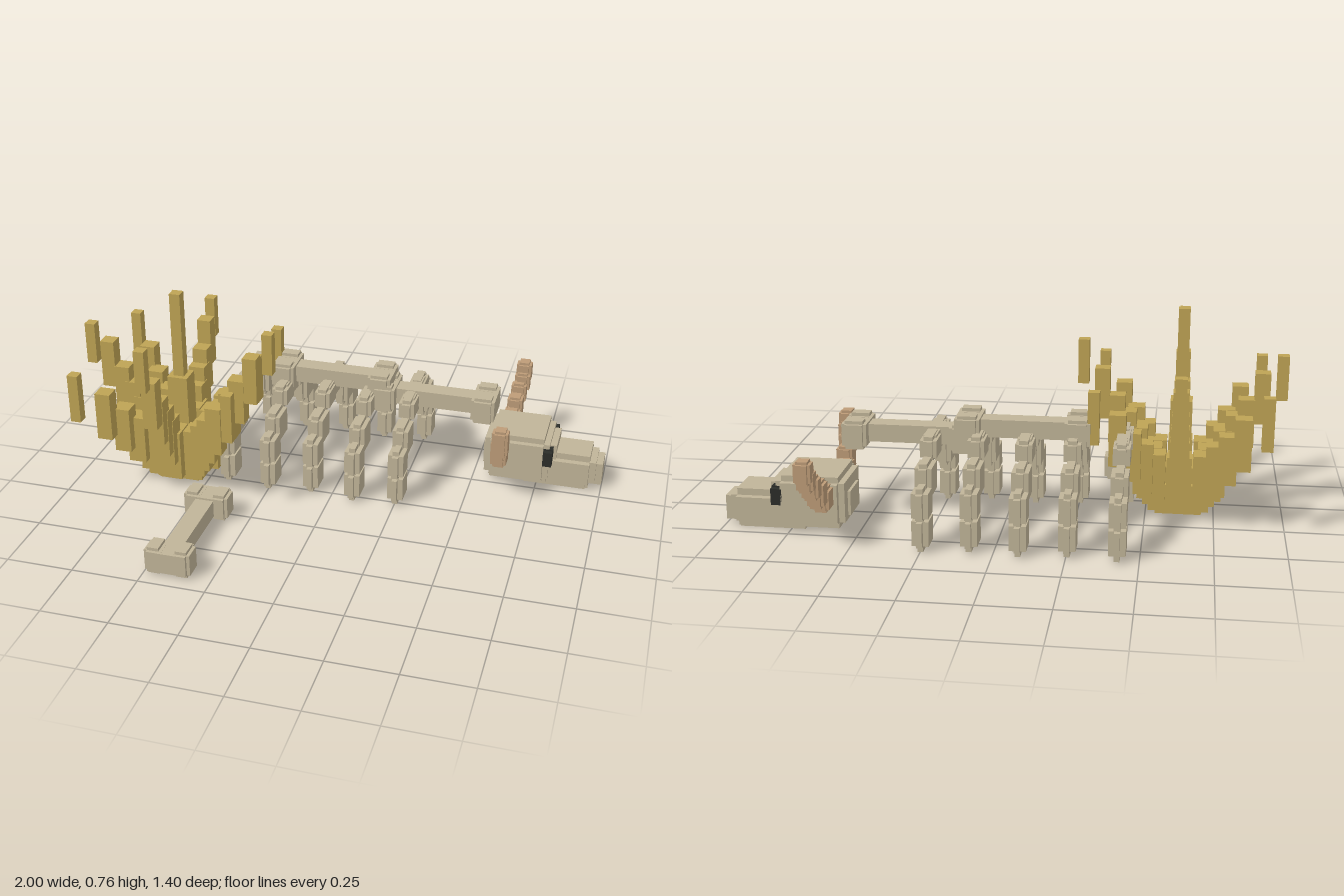
import * as THREE from 'three';

export function createModel() {
  const model = new THREE.Group();
  const mat = (name, color) => {
    const m = new THREE.MeshStandardMaterial({ color });
    m.name = name;
    return m;
  };
  const bone = mat('bone', 0xc0b498);
  const gold = mat('dry gold', 0xbea354);
  const horn = mat('horn brown', 0xbd9c78);
  const dark = mat('eye black', 0x2b2d29);

  const group = (name, parent = model) => {
    const g = new THREE.Group();
    g.name = name;
    parent.add(g);
    return g;
  };
  // Box given by its centre and size
  const box = (parent, name, m, x, y, z, sx, sy, sz) => {
    const mesh = new THREE.Mesh(new THREE.BoxGeometry(sx, sy, sz), m);
    mesh.name = name;
    mesh.position.set(x, y, z);
    parent.add(mesh);
    return mesh;
  };
  // Block with stepped edges: three crossing boxes
  const chunk = (parent, name, m, x, y, z, sx, sy, sz, c) => {
    const d = 2 * c;
    box(parent, name, m, x, y, z, sx, sy - d, sz - d);
    box(parent, name, m, x, y, z, sx - d, sy, sz - d);
    box(parent, name, m, x, y, z, sx - d, sy - d, sz);
  };

  // Long bones: a shaft along x with a two-lobed knob at each end
  const longBone = (name, x, y, z) => {
    const g = group(name);
    box(g, 'shaft', bone, 0, 0, 0, 0.42, 0.065, 0.07);
    for (const s of [-1, 1]) {
      box(g, 'knob', bone, s * 0.195, 0, 0, 0.09, 0.08, 0.115);
      for (const t of [-1, 1]) {
        chunk(g, 'lobe', bone, s * 0.195, 0, t * 0.052, 0.09, 0.105, 0.066, 0.012);
      }
    }
    g.position.set(x, y, z);
    return g;
  };
  longBone('rearSpine', -0.07, 0.367, -0.29);
  longBone('frontSpine', 0.34, 0.33, -0.28);
  longBone('looseBone', -0.41, 0.053, 0.46).rotation.y = Math.PI / 2;

  // Ribs: an arch of stepped blocks, alternately shifted sideways
  [-0.424, -0.253, -0.086, 0.085, 0.25].forEach((x, i) => {
    const g = group('rib');
    g.position.set(x, 0, i % 2 ? -0.275 : -0.295);
    box(g, 'ribTop', bone, 0, 0.32, 0, 0.045, 0.07, 0.2);
    for (const s of [-1, 1]) {
      chunk(g, 'ribRoot', bone, 0, 0.315, s * 0.09, 0.06, 0.09, 0.12, 0.014);
      chunk(g, 'ribShoulder', bone, 0, 0.228, s * 0.185, 0.06, 0.13, 0.13, 0.016);
      chunk(g, 'ribSide', bone, 0, 0.165, s * 0.265, 0.06, 0.125, 0.115, 0.018);
      chunk(g, 'ribTip', bone, 0, 0.065, s * 0.265, 0.06, 0.13, 0.12, 0.02);
    }
  });

  // Skull pointing along +x
  const skull = group('skull');
  skull.position.z = -0.37;
  chunk(skull, 'cranium', bone, 0.67, 0.115, 0, 0.25, 0.19, 0.25, 0.022);
  box(skull, 'skullBase', bone, 0.68, 0.055, 0, 0.22, 0.07, 0.2);
  box(skull, 'skullBack', bone, 0.56, 0.1, 0, 0.05, 0.09, 0.12);
  box(skull, 'brow', bone, 0.785, 0.12, 0, 0.07, 0.11, 0.15);
  chunk(skull, 'snout', bone, 0.87, 0.07, 0, 0.21, 0.14, 0.18, 0.025);
  box(skull, 'jaw', bone, 0.82, 0.03, 0, 0.24, 0.06, 0.15);
  box(skull, 'nose', bone, 0.97, 0.06, 0, 0.06, 0.09, 0.1);

  for (const s of [-1, 1]) {
    // Eyes
    box(skull, 'eye', dark, 0.788, 0.135, s * 0.105, 0.04, 0.06, 0.04);
    box(skull, 'eyeTop', dark, 0.788, 0.15, s * 0.085, 0.04, 0.04, 0.04);

    // Horns climbing outward from the skull: x, y, z, height, depth
    const g = group('horn', skull);
    for (const [x, y, z, h, d] of [
      [0.61, 0.15, 0.15, 0.085, 0.085],
      [0.615, 0.185, 0.2, 0.095, 0.075],
      [0.62, 0.225, 0.25, 0.085, 0.06],
      [0.628, 0.26, 0.28, 0.08, 0.06],
      [0.63, 0.297, 0.303, 0.085, 0.062],
    ]) chunk(g, 'hornBlock', horn, x, y, s * z, 0.06, h, d, 0.01);
  }

  // Dry plant: stepped base, tall middle stalk and eight rising arms
  const plant = group('plant');
  plant.position.set(-0.62, 0, -0.035);
  box(plant, 'plantFoot', gold, 0, 0.025, 0, 0.17, 0.05, 0.17);
  box(plant, 'plantBase', gold, 0, 0.07, 0, 0.22, 0.1, 0.22);
  box(plant, 'plantCrown', gold, 0, 0.13, 0, 0.17, 0.1, 0.17);
  box(plant, 'innerStalk', gold, 0, 0.24, 0, 0.08, 0.36, 0.08);
  box(plant, 'middleStalk', gold, 0, 0.43, 0, 0.042, 0.66, 0.042);

  // Arm leaves: offset, bottom, top, width
  const straight = [
    [0.11, 0.04, 0.24, 0.09], [0.155, 0.12, 0.31, 0.07], [0.195, 0.18, 0.37, 0.065],
    [0.235, 0.25, 0.43, 0.06], [0.29, 0.34, 0.53, 0.055],
  ];
  const diagonal = [
    [0.09, 0.05, 0.24, 0.08], [0.13, 0.1, 0.29, 0.07], [0.17, 0.16, 0.34, 0.065],
    [0.22, 0.23, 0.42, 0.06], [0.3, 0.33, 0.52, 0.04],
  ];
  // Direction and bottom of the loose tip on each straight arm
  for (const [dx, dz, tip] of [[1, 0, 0.47], [-1, 0, 0.43], [0, 1, 0.52], [0, -1, 0.43]]) {
    const g = group('straightArm', plant);
    for (const [r, y0, y1, w] of [...straight, [0.36, tip, tip + 0.165, 0.04]]) {
      box(g, 'leaf', gold, dx * r, (y0 + y1) / 2, dz * r, w, y1 - y0, w);
    }
  }
  for (const dx of [-1, 1]) for (const dz of [-1, 1]) {
    const g = group('diagonalArm', plant);
    for (const [r, y0, y1, w] of diagonal) {
      box(g, 'leaf', gold, dx * r, (y0 + y1) / 2, dz * r, w, y1 - y0, w);
    }
  }
  return model;
}
